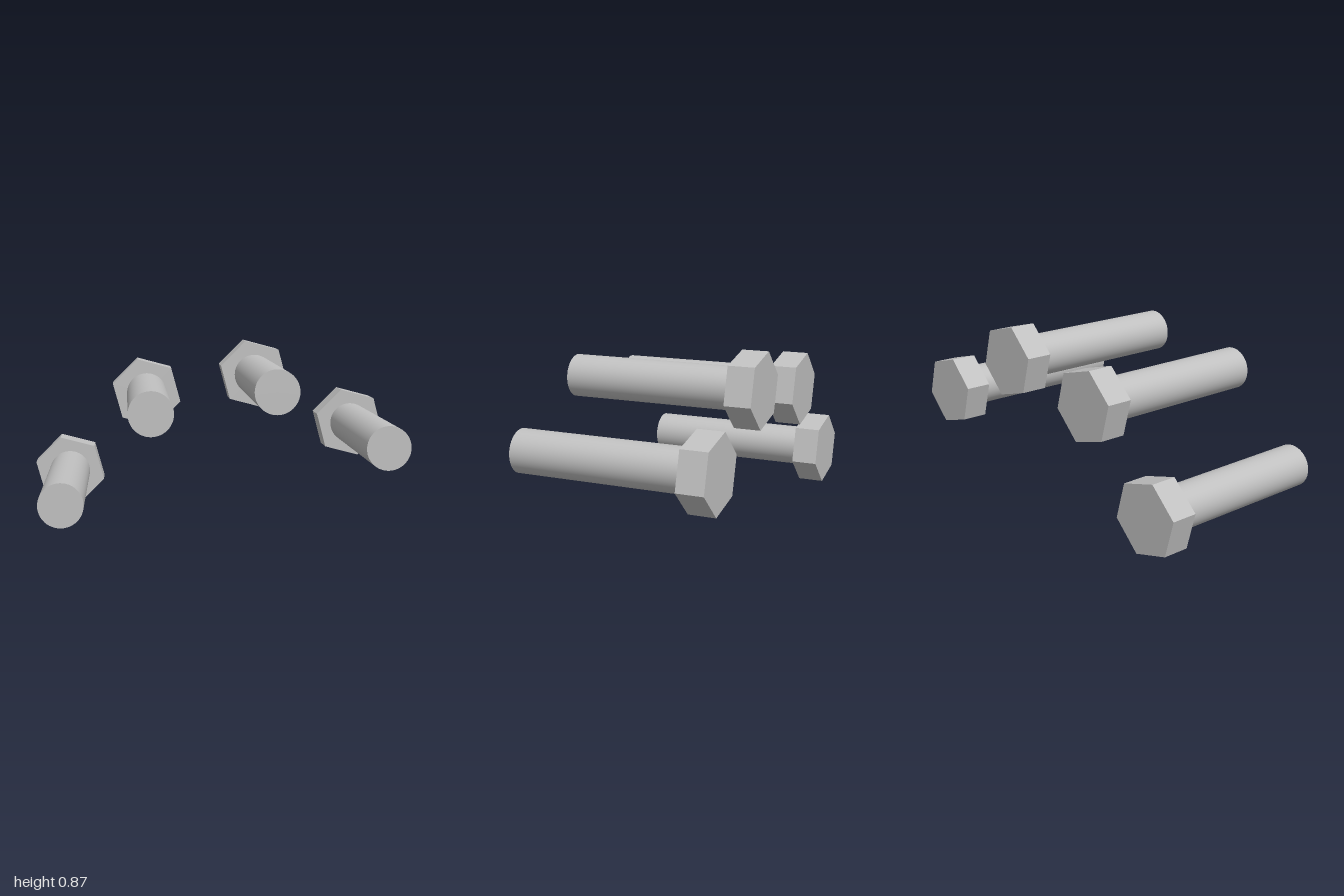
import * as THREE from 'three';

const SHANK_RADIUS = 0.106, SHANK_LENGTH = 0.874;
const HEAD_RADIUS = 0.187, HEAD_HEIGHT = 0.134;

export function createModel() {
  const model = new THREE.Group();
  model.name = 'bolts';

  const steel = new THREE.MeshStandardMaterial({ color: 0xc0c0c0 });
  steel.name = 'steel';

  // Smooth round shank, from the local origin along +z
  const shankGeometry = new THREE.CylinderGeometry(SHANK_RADIUS, SHANK_RADIUS, SHANK_LENGTH, 48)
    .rotateX(Math.PI / 2)
    .translate(0, 0, SHANK_LENGTH / 2);

  // Hexagonal head, turned 15 degrees about the bolt axis
  const headGeometry = new THREE.CylinderGeometry(HEAD_RADIUS, HEAD_RADIUS, HEAD_HEIGHT, 6)
    .toNonIndexed()
    .rotateX(Math.PI / 2)
    .rotateZ(-Math.PI / 12)
    .translate(0, 0, SHANK_LENGTH + HEAD_HEIGHT / 2);
  headGeometry.computeVertexNormals(); // flat sides

  // Centres of the free shank ends
  const ends = [
    [-0.925, 0.182, -0.16],
    [-0.63, 0.6, 0.135],
    [-0.22, 0.695, 0.547],
    [0.155, 0.426, 0.92],
  ];

  ends.forEach((end, i) => {
    const bolt = new THREE.Group();
    bolt.name = `bolt${i + 1}`;
    const shank = new THREE.Mesh(shankGeometry, steel);
    shank.name = 'shank';
    const head = new THREE.Mesh(headGeometry, steel);
    head.name = 'hexHead';
    bolt.add(shank, head);
    bolt.position.set(...end);
    bolt.rotation.y = Math.PI * 0.75; // head points to +x, -z
    model.add(bolt);
  });

  return model;
}
